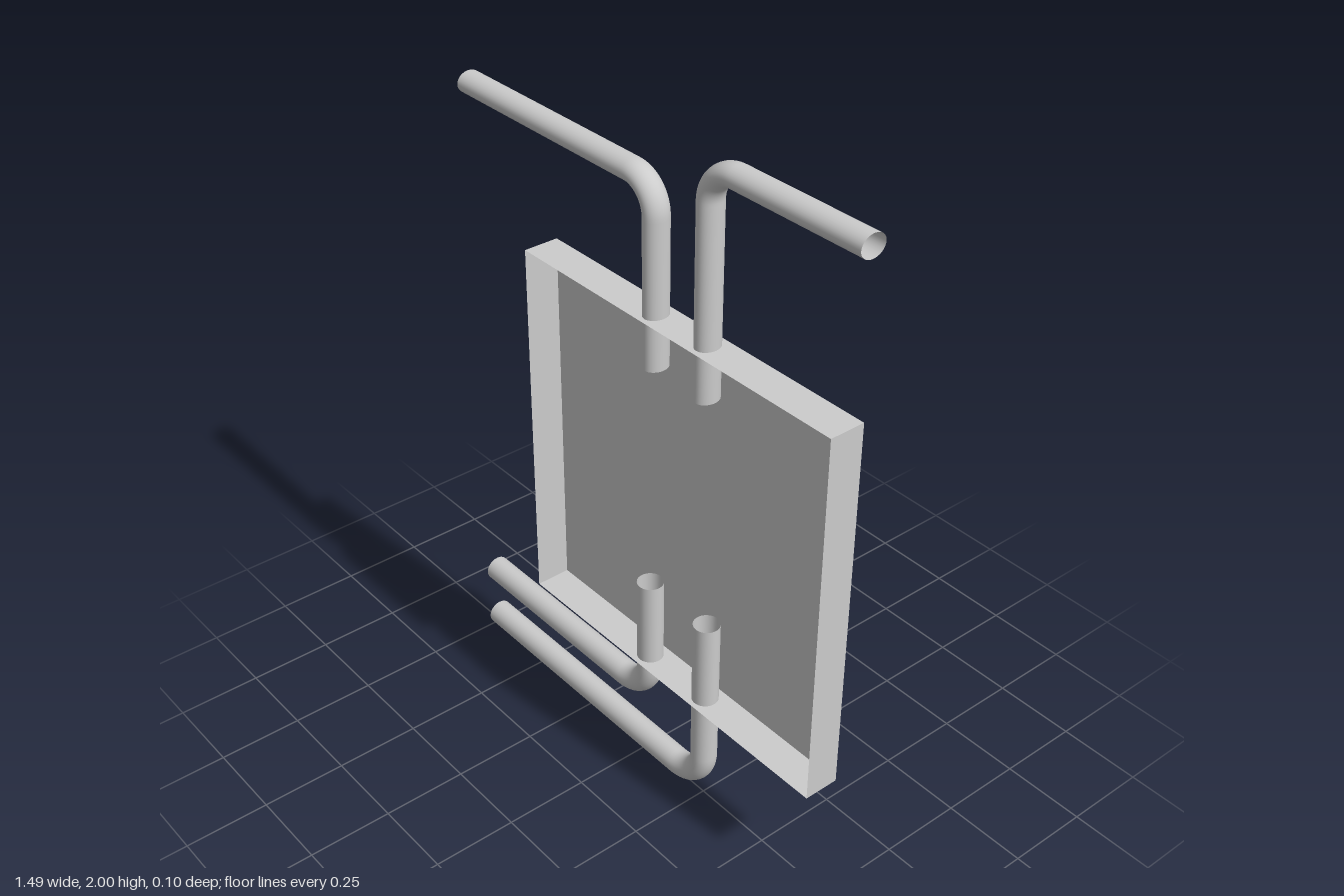
import * as THREE from 'three';

const material = new THREE.MeshStandardMaterial({ color: 0xcccccc, side: THREE.DoubleSide });

// Open pipe: horizontal run from xEnd at height y, rounded bend, vertical run at x to yEnd
function pipe(name, xEnd, y, x, yEnd, bend, radius, depthScale) {
  const sx = Math.sign(xEnd - x), sy = Math.sign(yEnd - y);
  const k = bend * (1 - 0.5523);
  const p = (px, py) => new THREE.Vector3(px, py, 0);
  const path = new THREE.CurvePath();
  path.add(new THREE.LineCurve3(p(xEnd, y), p(x + sx * bend, y)));
  path.add(new THREE.CubicBezierCurve3(
    p(x + sx * bend, y), p(x + sx * k, y), p(x, y + sy * k), p(x, y + sy * bend)));
  path.add(new THREE.LineCurve3(p(x, y + sy * bend), p(x, yEnd)));
  const geometry = new THREE.TubeGeometry(path, 120, radius, 32, false);
  geometry.scale(1, 1, depthScale);
  const mesh = new THREE.Mesh(geometry, material);
  mesh.name = name;
  return mesh;
}

export function createModel() {
  const group = new THREE.Group();
  group.name = 'panelWithPipes';

  // Thin-walled tray, open at the front (the +z face is dropped)
  const box = new THREE.BoxGeometry(1.16, 1.124, 0.105);
  const index = Array.from(box.index.array);
  index.splice(24, 6);
  box.setIndex(index);
  box.clearGroups();
  const tray = new THREE.Mesh(box, material);
  tray.name = 'tray';
  tray.position.set(0.131, 0.922, 0);
  group.add(tray);

  // Upper pipes, slightly deeper than wide
  group.add(pipe('upperRightPipe', -0.747, 1.848, 0.031, 1.333, 0.092, 0.031, 1.22));
  group.add(pipe('upperLeftPipe', 0.747, 1.969, 0.228, 1.333, 0.092, 0.031, 1.22));

  // Lower pipes
  group.add(pipe('lowerInnerPipe', -0.747, 0.217, 0.01, 0.622, 0.112, 0.038, 1));
  group.add(pipe('lowerOuterPipe', -0.747, 0.04, 0.248, 0.622, 0.112, 0.038, 1));

  return group;
}
